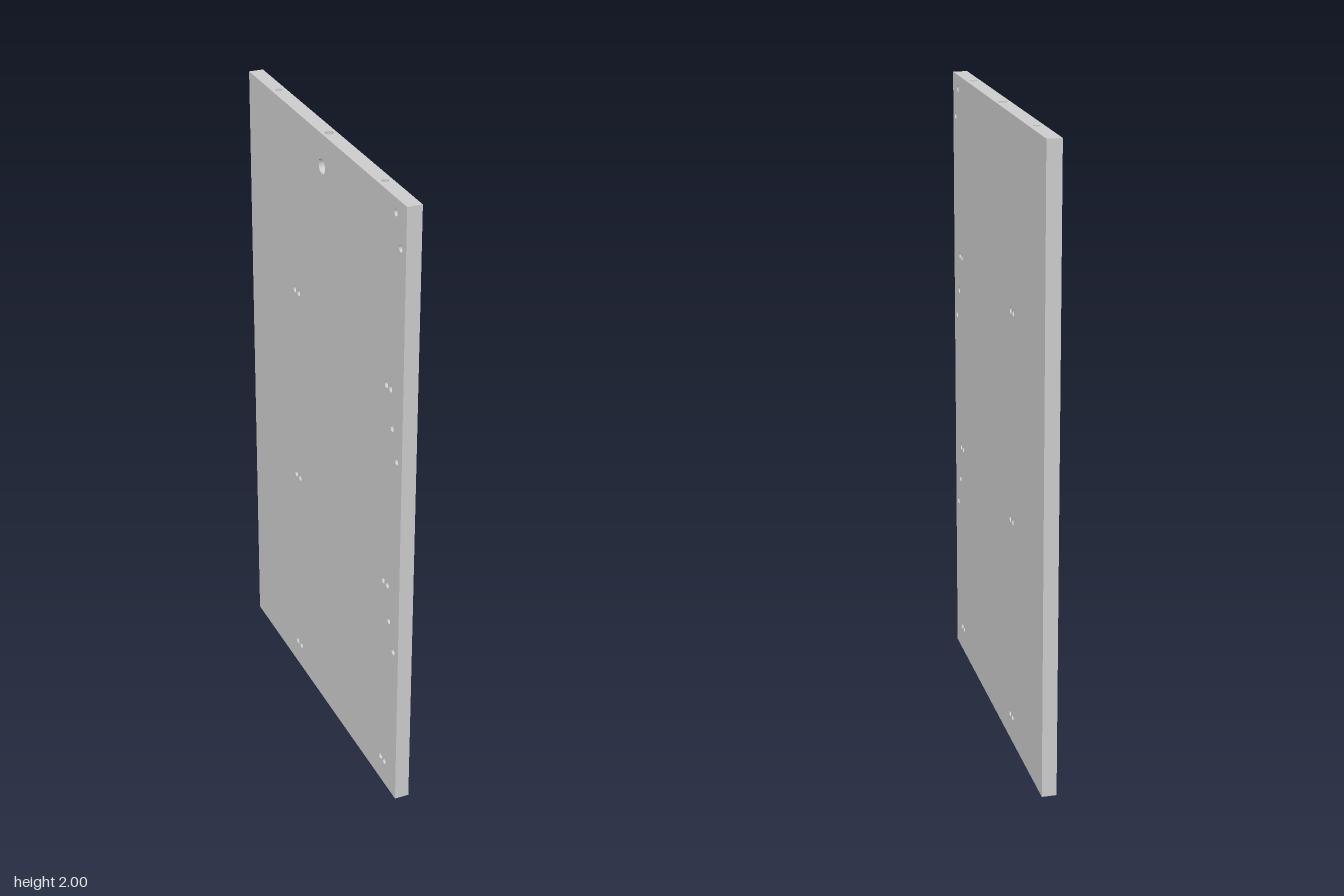
import * as THREE from 'three';

const T = 0.023, D = 0.576, H = 2;          // half thickness, half depth, height
const PIN_R = 0.0105;                        // through holes in the broad faces
const DOWEL_R = 0.0105, DOWEL_DEPTH = 0.08, DOWEL_Z = [-0.387, 0.387];
const BOLT_R = 0.0135;                       // centre hole in the top edge
const CAM = { y: 1.9, r: 0.023, floor: 0.015 }; // round blind pocket on the -x face
const SEG = 24;

// Through holes as [z, y], one set per tier
const pins = [];
for (let i = 0; i < 3; i++) {
  const y = 0.087 + i * 0.6635;
  for (const z of [0.493, 0.464, -0.185, -0.216]) pins.push([z, y]);
  pins.push([0.541, y + 0.451], [0.507, y + 0.543]);
}

export function createModel() {
  const group = new THREE.Group();
  const material = new THREE.MeshStandardMaterial({ color: 0xcccccc });
  const wallMaterial = new THREE.MeshStandardMaterial({ color: 0xcccccc, side: THREE.DoubleSide });

  const add = (name, geometry, mat = material) => {
    const mesh = new THREE.Mesh(geometry, mat);
    mesh.name = name;
    group.add(mesh);
    return mesh;
  };

  // Flat rectangle from (-w, v0) to (w, v1) with round holes [u, v, radius]
  const face = (name, w, v0, v1, holes) => {
    const shape = new THREE.Shape([[-w, v0], [w, v0], [w, v1], [-w, v1]].map(p => new THREE.Vector2(...p)));
    for (const [u, v, r] of holes) {
      shape.holes.push(new THREE.Path().absarc(u, v, r, 0, Math.PI * 2, true));
    }
    return add(name, new THREE.ShapeGeometry(shape, SEG / 2));
  };

  // Surface stretched between two curves a(t) and b(t), for t from t0 to t1
  const ruled = (name, a, b, t0 = 0, t1 = Math.PI * 2) => {
    const pos = [], index = [];
    for (let i = 0; i <= SEG; i++) {
      const t = t0 + (t1 - t0) * i / SEG;
      pos.push(...a(t), ...b(t));
      if (i < SEG) index.push(2 * i, 2 * i + 1, 2 * i + 2, 2 * i + 2, 2 * i + 1, 2 * i + 3);
    }
    const geometry = new THREE.BufferGeometry();
    geometry.setAttribute('position', new THREE.Float32BufferAttribute(pos, 3));
    geometry.setIndex(index);
    geometry.computeVertexNormals();
    return add(name, geometry, wallMaterial);
  };

  // Broad faces
  const right = face('rightFace', D, 0, H, [
    ...pins.map(([z, y]) => [z, y, PIN_R]), [0, CAM.y, CAM.r]]);
  right.rotation.y = -Math.PI / 2;
  right.position.x = -T;
  const left = face('leftFace', D, 0, H, pins.map(([z, y]) => [-z, y, PIN_R]));
  left.rotation.y = Math.PI / 2;
  left.position.x = T;

  // Narrow edges
  face('frontEdge', T, 0, H, []).position.z = D;
  const back = face('backEdge', T, 0, H, []);
  back.rotation.y = Math.PI;
  back.position.z = -D;
  const dowels = DOWEL_Z.map(z => [0, z, DOWEL_R]);
  const top = face('topEdge', T, -D, D, [...dowels, [0, 0, BOLT_R]]);
  top.rotation.x = -Math.PI / 2;
  top.position.y = H;
  const bottom = face('bottomEdge', T, -D, D, dowels);
  bottom.rotation.x = Math.PI / 2;

  // Through hole walls
  for (const [z, y] of pins) {
    const ring = x => t => [x, y + PIN_R * Math.sin(t), z + PIN_R * Math.cos(t)];
    ruled('pinHole', ring(-T), ring(T));
  }

  // Blind dowel holes in the top and bottom edges
  for (const z of DOWEL_Z) {
    for (const [y0, y1] of [[H, H - DOWEL_DEPTH], [0, DOWEL_DEPTH]]) {
      const ring = y => t => [DOWEL_R * Math.sin(t), y, z + DOWEL_R * Math.cos(t)];
      ruled('dowelHole', ring(y0), ring(y1));
      const end = add('dowelHoleEnd', new THREE.CircleGeometry(DOWEL_R, SEG), wallMaterial);
      end.rotation.x = Math.PI / 2;
      end.position.set(0, y1, z);
    }
  }

  // Bolt hole running down from the top edge into the pocket
  const boltX = t => BOLT_R * Math.sin(t), boltZ = t => BOLT_R * Math.cos(t);
  ruled('boltHole',
    t => [boltX(t), H, boltZ(t)],
    t => [boltX(t), CAM.y + Math.sqrt(CAM.r ** 2 - boltZ(t) ** 2), boltZ(t)]);

  // Pocket wall, left open where the bolt hole enters; t is the angle from straight up
  const rim = x => t => [x(t), CAM.y + CAM.r * Math.cos(t), CAM.r * Math.sin(t)];
  const half = t => Math.sqrt(Math.max(0, BOLT_R ** 2 - (CAM.r * Math.sin(t)) ** 2));
  const gap = Math.asin(BOLT_R / CAM.r);
  const outer = rim(() => -T), inner = rim(() => CAM.floor);
  ruled('pocketWall', outer, inner, gap, Math.PI * 2 - gap);
  ruled('pocketWallOuter', outer, rim(t => -half(t)), -gap, gap);
  ruled('pocketWallInner', rim(half), inner, -gap, gap);
  const floor = add('pocketFloor', new THREE.CircleGeometry(CAM.r, SEG), wallMaterial);
  floor.rotation.y = -Math.PI / 2;
  floor.position.set(CAM.floor, CAM.y, 0);

  return group;
}
